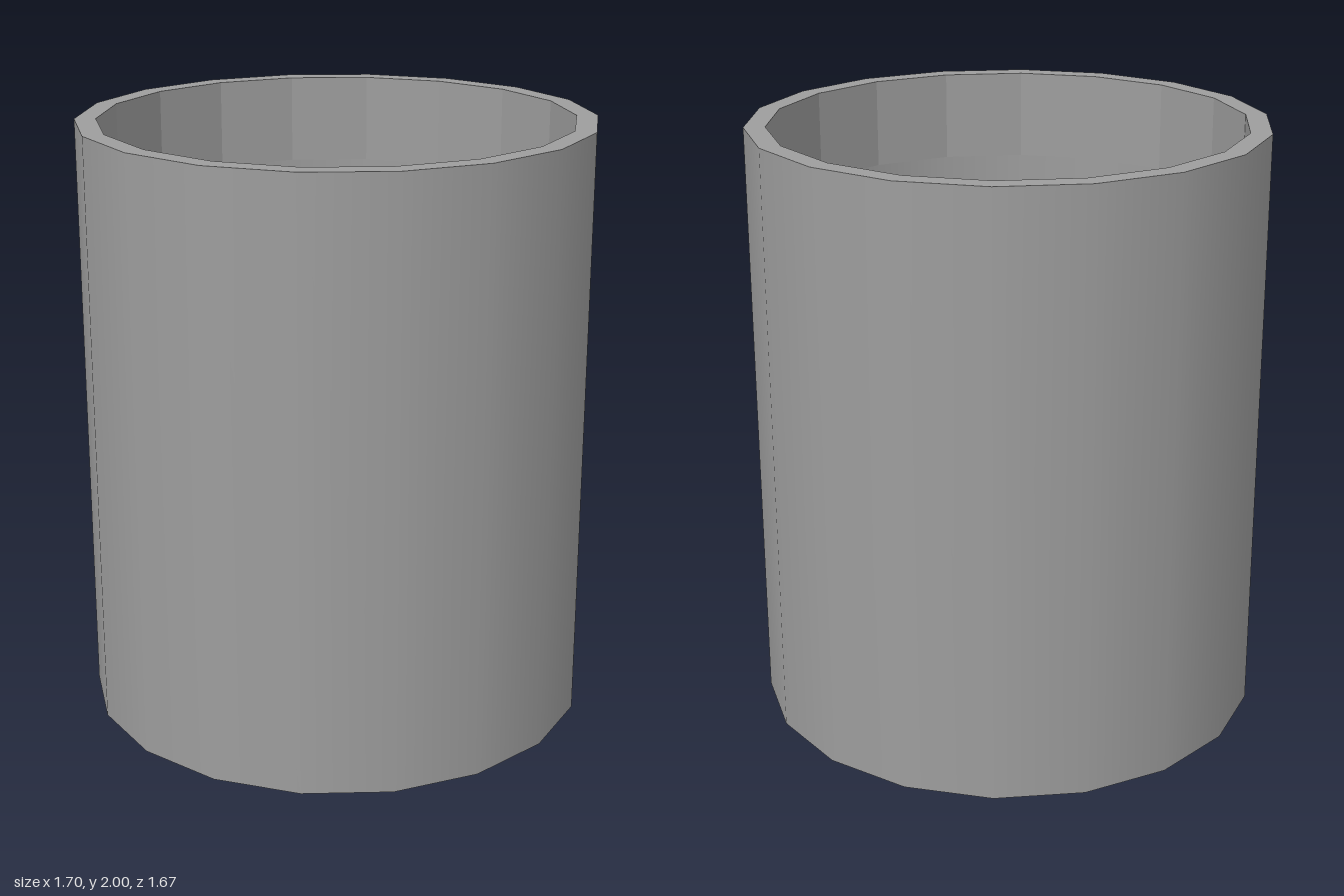
import * as THREE from 'three';

const SIDES = 18;
const OUTER = 0.85, INNER = 0.78, HOLE = 0.034;
const HEIGHT = 2, LIP = 1.7, FLOOR = 0.4;

export function createModel() {
  const group = new THREE.Group();
  group.name = 'pot';
  const material = new THREE.MeshStandardMaterial({ color: 0x9d9d9d });

  // One ring of faces between two profile points [radius, height]
  function ring(name, from, to, flat = false) {
    const points = [new THREE.Vector2(...from), new THREE.Vector2(...to)];
    let geometry = new THREE.LatheGeometry(points, SIDES, Math.PI / 2);
    if (flat) {
      geometry = geometry.toNonIndexed();
      geometry.computeVertexNormals();
    }
    const mesh = new THREE.Mesh(geometry, material);
    mesh.name = name;
    group.add(mesh);
  }

  // Underside with the drain hole, then up the outside and over the rim
  ring('base', [HOLE, 0], [OUTER, 0]);
  ring('outerWall', [OUTER, 0], [OUTER, HEIGHT]);
  ring('rim', [OUTER, HEIGHT], [INNER, HEIGHT]);

  // Faceted inner lip, smooth inner wall, and a floor sloping to the drain hole
  ring('innerLip', [INNER, HEIGHT], [INNER, LIP], true);
  ring('innerWall', [INNER, LIP], [INNER, FLOOR]);
  ring('floor', [INNER, FLOOR], [HOLE, 0]);

  return group;
}
